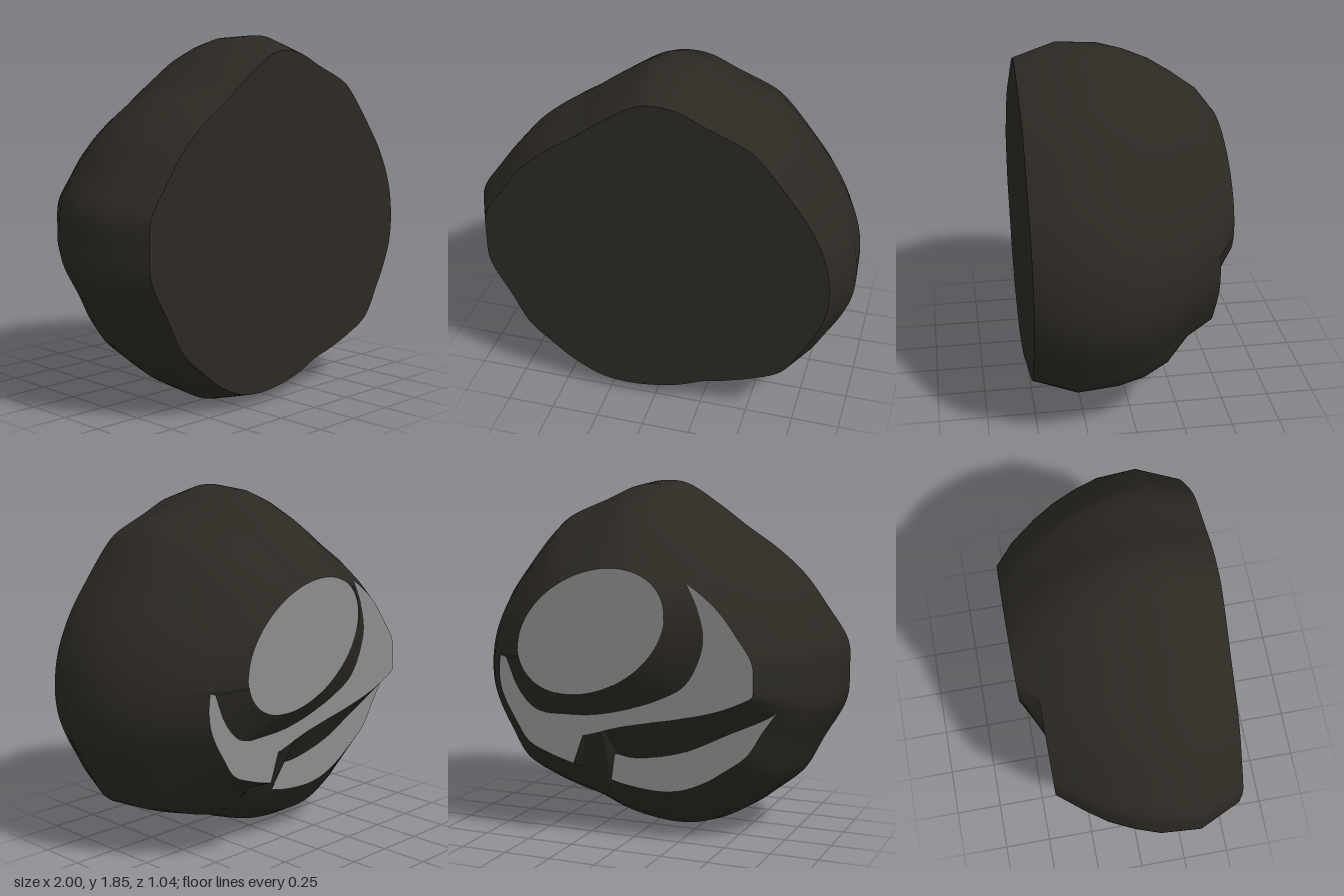
import * as THREE from 'three';
import { mergeGeometries, mergeVertices } from 'three/addons/utils/BufferGeometryUtils.js';

const N = 240;            // samples around every ring
const CX = 0.1, CY = 1.05; // axis that all rings are measured around
const MID = 0.93;

// Widest outline of the boulder, anticlockwise from the top
const OUTLINE = [
  [0.03, 1.855], [-0.08, 1.84], [-0.28, 1.72], [-0.42, 1.62], [-0.6, 1.5], [-0.75, 1.37], [-0.88, 1.2],
  [-0.99, 1.03], [-1, 0.88], [-0.99, 0.72], [-0.87, 0.5], [-0.77, 0.32], [-0.62, 0.19], [-0.5, 0.1],
  [-0.33, 0.02], [-0.18, 0], [0, 0.015], [0.15, 0.05], [0.3, 0.11], [0.42, 0.14], [0.6, 0.2], [0.76, 0.28],
  [0.87, 0.45], [0.95, 0.6], [0.99, 0.72], [1, 0.87], [0.97, 1.05], [0.88, 1.25], [0.75, 1.43],
  [0.6, 1.61], [0.53, 1.67], [0.3, 1.77], [0.14, 1.84],
];

// Edges where the stepped back is cut away
const LOWER_CUT = [[-0.85, 0.8], [-0.76, 0.72], [-0.54, 0.61], [-0.26, 0.48], [-0.01, 0.435], [0.1, 0.45], [0.12, 0.2]];
const MIDDLE_CUT = [[-0.8, 0.88], [-0.54, 0.755], [-0.3, 0.69], [-0.05, 0.64], [0.23, 0.56], [0.31, 0.25]];
const UPPER_CUT = [
  [-0.24, 1.55], [-0.363, 1.348], [-0.427, 1.2], [-0.44, 1.07], [-0.35, 0.87], [-0.2, 0.78], [-0.045, 0.725],
  [0.15, 0.68], [0.31, 0.67], [0.48, 0.68], [0.58, 0.77], [0.66, 0.95],
];

const smooth = (pts, closed, n) =>
  new THREE.CatmullRomCurve3(pts.map(([x, y]) => new THREE.Vector3(x, y, 0)), closed)
    .getPoints(n).map((p) => [p.x, p.y]);

// Distance from the axis to a polyline at each angle (Infinity where it is missed)
function radii(pts) {
  return Array.from({ length: N }, (_, i) => {
    const a = (i / N) * Math.PI * 2 + 0.0007, dx = Math.cos(a), dy = Math.sin(a);
    let best = Infinity;
    for (let k = 0; k < pts.length - 1; k++) {
      const px = pts[k][0] - CX, py = pts[k][1] - CY;
      const ex = pts[k + 1][0] - CX - px, ey = pts[k + 1][1] - CY - py;
      const det = dx * ey - dy * ex;
      if (Math.abs(det) < 1e-9) continue;
      const r = (px * ey - py * ex) / det, t = (px * dy - py * dx) / det;
      if (r > 0 && t >= 0 && t <= 1) best = Math.min(best, r);
    }
    return best;
  });
}

const ring = (z, r) => ({ z, r });
const cut = (r, pts) => {
  const c = radii(pts);
  return r.map((v, i) => Math.min(v, c[i]));
};

// Skin over a list of rings, ordered front to back
function loft(rings) {
  const pos = [], idx = [];
  rings.forEach(({ z, r }) => {
    for (let i = 0; i < N; i++) {
      const a = (i / N) * Math.PI * 2 + 0.0007;
      pos.push(CX + Math.cos(a) * r[i], CY + Math.sin(a) * r[i], z);
    }
  });
  for (let k = 0; k < rings.length - 1; k++) {
    for (let i = 0; i < N; i++) {
      const j = (i + 1) % N, a = k * N, b = a + N;
      idx.push(a + i, b + i, a + j, a + j, b + i, b + j);
    }
  }
  const g = new THREE.BufferGeometry();
  g.setAttribute('position', new THREE.Float32BufferAttribute(pos, 3));
  g.setIndex(idx);
  return g;
}

export function createModel() {
  const group = new THREE.Group();
  const dark = new THREE.MeshStandardMaterial({ color: 0x2c2923 });
  const pale = new THREE.MeshStandardMaterial({ color: 0x8c8c8c });
  const add = (name, geometry, material) => {
    geometry.computeVertexNormals();
    const mesh = new THREE.Mesh(geometry, material);
    mesh.name = name;
    group.add(mesh);
  };

  // Boulder section: width, upper and lower scale of the outline
  const outline = smooth(OUTLINE, true, 200);
  const section = (sx, top, bottom) =>
    radii(outline.map(([x, y]) => [x * sx, MID + (y - MID) * (y > MID ? top : bottom)]));

  const front = section(0.9, 0.92, 0.935);
  const low = section(0.81, 0.81, 0.71);
  const high = section(0.7, 0.7, 0.65);
  const lowInner = cut(low, smooth(LOWER_CUT.slice(0, 6), false, 40).concat(LOWER_CUT.slice(6)));
  const midOuter = cut(high, smooth(MIDDLE_CUT.slice(0, 5), false, 40).concat(MIDDLE_CUT.slice(5)));
  const midInner = cut(high, smooth(UPPER_CUT, false, 60));
  const point = new Array(N).fill(0);

  // Tilted oval on the highest step
  const oval = radii(Array.from({ length: 97 }, (_, i) => {
    const t = (i / 96) * Math.PI * 2;
    return [0.13 + 0.405 * Math.cos(t), 1.12 + 0.325 * Math.sin(t - 0.32)];
  }));

  // Dark weathered skin: domed body and the sloping risers between the steps
  const body = loft([
    ring(0.52, front), ring(0.3, section(1, 1, 1)), ring(0.09, section(0.985, 0.985, 0.98)),
    ring(-0.04, section(0.94, 0.945, 0.955)), ring(-0.17, section(0.88, 0.885, 0.88)), ring(-0.28, low),
  ]);
  const lowerRiser = loft([ring(-0.28, lowInner), ring(-0.42, midOuter)]);
  const upperRiser = loft([ring(-0.42, midInner), ring(-0.52, oval)]);
  add('rockSkin', mergeVertices(mergeGeometries([body, lowerRiser, upperRiser]), 1e-4), dark);
  add('flatFront', loft([ring(0.52, point), ring(0.52, front)]), dark);

  // Pale freshly split faces
  add('lowerStep', loft([ring(-0.28, low), ring(-0.28, lowInner)]), pale);
  add('middleStep', loft([ring(-0.42, midOuter), ring(-0.42, midInner)]), pale);
  add('upperStep', loft([ring(-0.52, oval), ring(-0.52, point)]), pale);

  return group;
}
